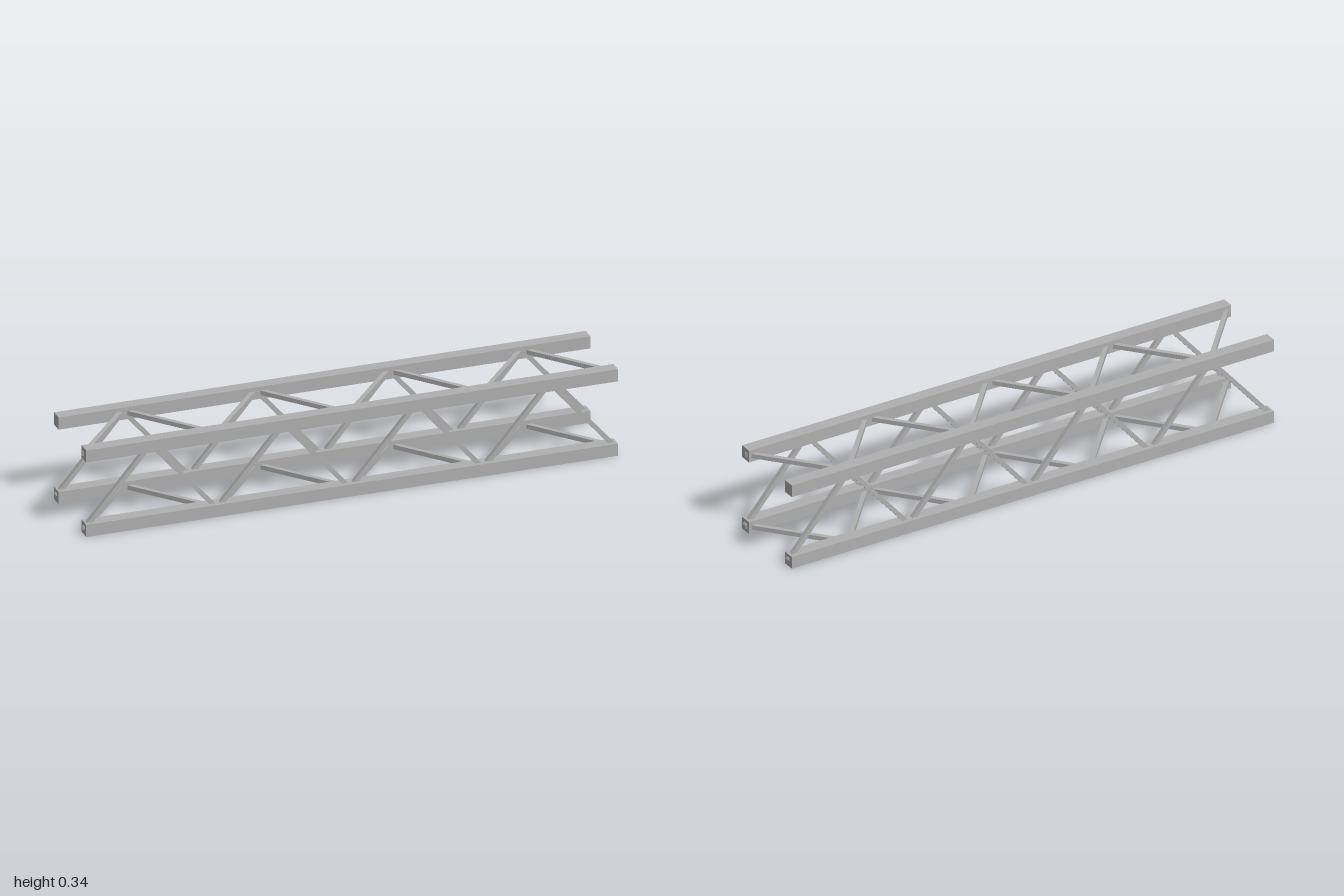
import * as THREE from 'three';

export function createModel() {
  const group = new THREE.Group();
  group.name = 'boxTruss';
  const steel = new THREE.MeshStandardMaterial({ color: 0xb0b0b0 });
  steel.name = 'grey steel';

  const half = 0.994;                  // half length of the chords
  const chord = 0.047, brace = 0.0166; // section widths
  const low = chord / 2, high = 0.313, side = 0.1445;
  const bays = 4, step = half / bays;

  // Four square chords along x
  const chordGeometry = new THREE.BoxGeometry(half * 2, chord, chord);
  for (const y of [low, high]) {
    for (const z of [side, -side]) {
      const mesh = new THREE.Mesh(chordGeometry, steel);
      mesh.name = `${y === low ? 'lower' : 'upper'}${z > 0 ? 'Front' : 'Back'}Chord`;
      mesh.position.set(0, y, z);
      group.add(mesh);
    }
  }

  // Square bar lying between two points of a face
  function addBrace(a, b, name) {
    const dir = b.clone().sub(a);
    const mesh = new THREE.Mesh(new THREE.BoxGeometry(dir.length(), brace, brace), steel);
    mesh.name = name;
    mesh.position.copy(a).add(b).multiplyScalar(0.5);
    mesh.quaternion.setFromUnitVectors(new THREE.Vector3(1, 0, 0), dir.normalize());
    group.add(mesh);
  }

  // Zigzag lacing on all four faces
  for (let i = 0; i < bays * 2; i++) {
    const x0 = -half + i * step, x1 = x0 + step;
    const odd = i % 2 === 1;
    for (const z of [side, -side]) {
      addBrace(
        new THREE.Vector3(x0, odd ? high : low, z),
        new THREE.Vector3(x1, odd ? low : high, z),
        z > 0 ? 'frontBrace' : 'backBrace');
    }
    for (const y of [low, high]) {
      addBrace(
        new THREE.Vector3(x0, y, odd ? -side : side),
        new THREE.Vector3(x1, y, odd ? side : -side),
        y === low ? 'bottomBrace' : 'topBrace');
    }
  }
  return group;
}
